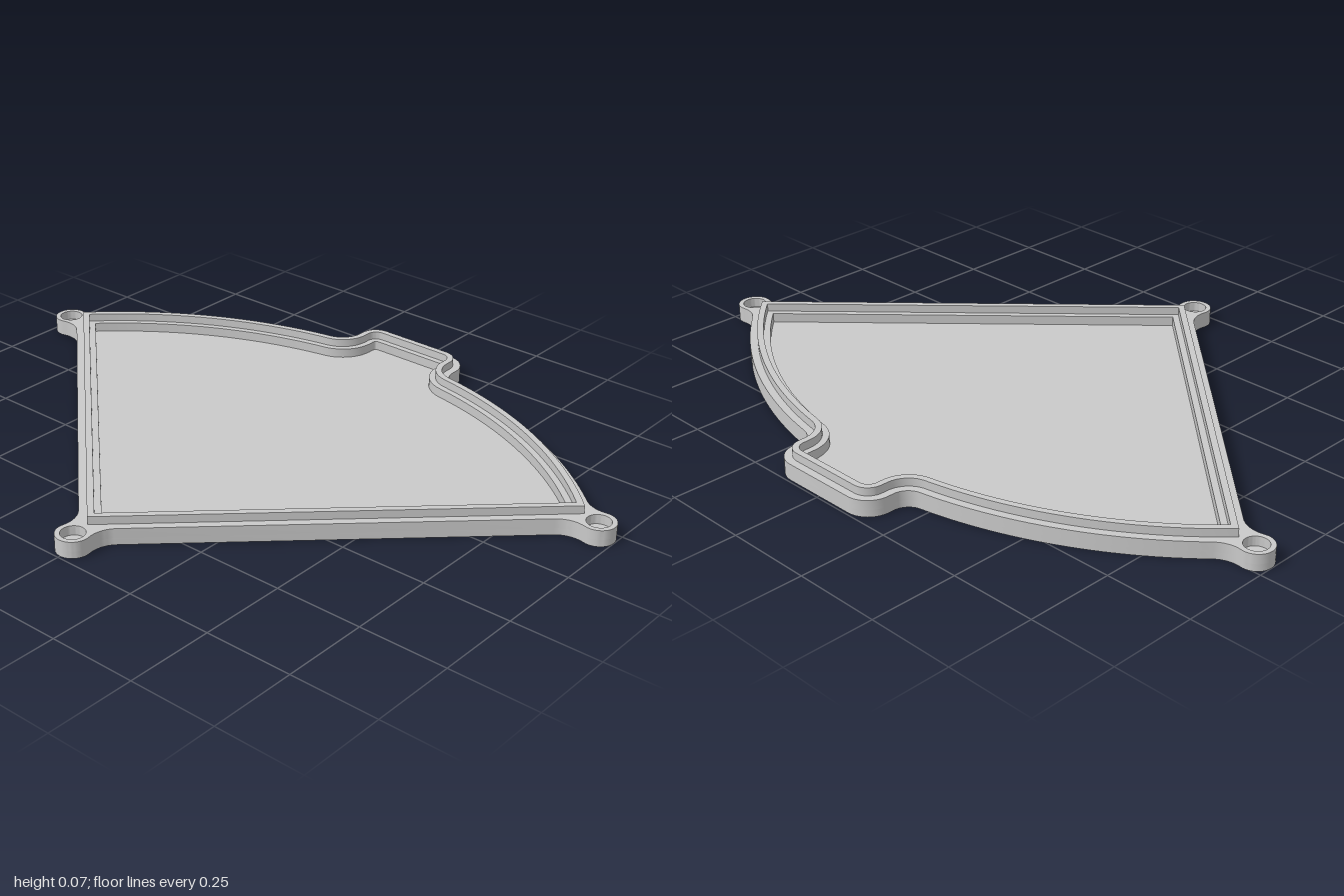
import * as THREE from 'three';
import { toCreasedNormals } from 'three/addons/utils/BufferGeometryUtils.js';

const V = (x, y) => new THREE.Vector2(x, y);
const HALF = THREE.MathUtils.degToRad(46.4);       // half angle of the sector
const C = V(-0.646, 0), R = 1.272;                 // sector centre and outer radius
const LEDGE = 0.022, LIP = 0.04, OPENING = 0.058;  // insets of lip outside, lip inside, opening
const FLOOR = 0.02, RIM = 0.047, TOP = 0.07;       // heights
const EAR_R = 0.047, HOLE_R = 0.033, NECK_R = 0.08;
const TAB_X = 0.743, TAB_W = 0.182, TAB_R = 0.07, TAB_FILLET = 0.05;
const U = V(Math.cos(HALF), Math.sin(HALF));       // along the straight edge
const N = V(Math.sin(HALF), -Math.cos(HALF));      // inward from the straight edge
const EARS = [V(-0.696, 0), V(0.209, 0.953), V(0.209, -0.953)];

const onEdge = (t, s) => C.clone().addScaledVector(U, t).addScaledVector(N, s);
const angle = (from, to) => Math.atan2(to.y - from.y, to.x - from.x);

// Points along the shorter arc from angle a0 to a1
function arc(c, r, a0, a1, n = 10) {
  const sweep = Math.atan2(Math.sin(a1 - a0), Math.cos(a1 - a0));
  return Array.from({ length: n + 1 }, (_, i) => {
    const a = a0 + sweep * i / n;
    return V(c.x + r * Math.cos(a), c.y + r * Math.sin(a));
  });
}

// Curved side from a start angle to the end tab, inset by d
function curvedSide(startAngle, d) {
  const f = V(C.x + Math.sqrt((R + TAB_FILLET) ** 2 - (TAB_W + TAB_FILLET) ** 2), TAB_W + TAB_FILLET);
  const g = V(TAB_X - TAB_R, TAB_W - TAB_R);
  return [
    ...arc(C, R - d, startAngle, angle(C, f), 32),
    ...arc(f, TAB_FILLET + d, angle(f, C), -Math.PI / 2).slice(1),
    ...arc(g, TAB_R - d, Math.PI / 2, 0),
  ];
}

// Mirror a half outline into a closed counter-clockwise one
function mirrored(half) {
  const other = half.filter(p => Math.abs(p.y) > 1e-6).map(p => V(p.x, -p.y));
  return [...other, ...half.slice().reverse()];
}

// Plain sector with tab, inset by d
function insetOutline(d) {
  const s = d - LEDGE;
  const corner = onEdge(Math.sqrt((R - d) ** 2 - s * s), s);
  return mirrored([V(C.x + s / Math.sin(HALF), 0), ...curvedSide(angle(C, corner), d)]);
}

// Outer outline with ears blended in by neck fillets
function outerOutline() {
  const [e0, e1] = EARS, reach = EAR_R + NECK_R;
  const neckOnEdge = (e, sign) => {
    const rel = e.clone().sub(C), out = -rel.dot(N) - LEDGE;
    return onEdge(rel.dot(U) + sign * Math.sqrt(reach ** 2 - (NECK_R - out) ** 2), -LEDGE - NECK_R);
  };
  const f0 = neckOnEdge(e0, 1), f1 = neckOnEdge(e1, -1);
  const dist = C.distanceTo(e1), far = R + NECK_R;
  const turn = Math.acos((dist ** 2 + far ** 2 - reach ** 2) / (2 * dist * far));
  const a2 = angle(C, e1) - turn;
  const f2 = V(C.x + far * Math.cos(a2), far * Math.sin(a2));
  const inward = Math.atan2(N.y, N.x);
  return mirrored([
    V(e0.x - EAR_R, 0),
    ...arc(e0, EAR_R, Math.PI, angle(e0, f0), 14).slice(1),
    ...arc(f0, NECK_R, angle(f0, e0), inward).slice(1),
    ...arc(f1, NECK_R, inward, angle(f1, e1)),
    ...arc(e1, EAR_R, angle(e1, f1), Math.PI / 2).slice(1),
    ...arc(e1, EAR_R, Math.PI / 2, angle(e1, f2)).slice(1),
    ...arc(f2, NECK_R, angle(f2, e1), angle(f2, C)).slice(1),
    ...curvedSide(a2, 0).slice(1),
  ]);
}

export function createModel() {
  const group = new THREE.Group();
  const grey = new THREE.MeshStandardMaterial({ color: 0xc9c9c9 });
  grey.name = 'grey';

  // Flat layer between two heights
  const layer = (name, outline, holes, y0, y1) => {
    const shape = new THREE.Shape(outline);
    shape.holes = holes.map(h => new THREE.Path(h));
    const geo = new THREE.ExtrudeGeometry(shape, { depth: y1 - y0, bevelEnabled: false });
    geo.rotateX(-Math.PI / 2).translate(0, y0, 0);
    const mesh = new THREE.Mesh(toCreasedNormals(geo, 0.6), grey);
    mesh.name = name;
    group.add(mesh);
  };

  const outer = outerOutline();
  const earHoles = EARS.map(e => new THREE.Path().absarc(e.x, e.y, HOLE_R, 0, Math.PI * 2).getPoints(28).slice(0, -1));

  layer('floor', outer, [], 0, FLOOR);
  layer('rim', outer, [insetOutline(OPENING), ...earHoles], FLOOR, RIM);
  layer('lip', insetOutline(LEDGE), [insetOutline(LIP)], RIM, TOP);
  return group;
}
